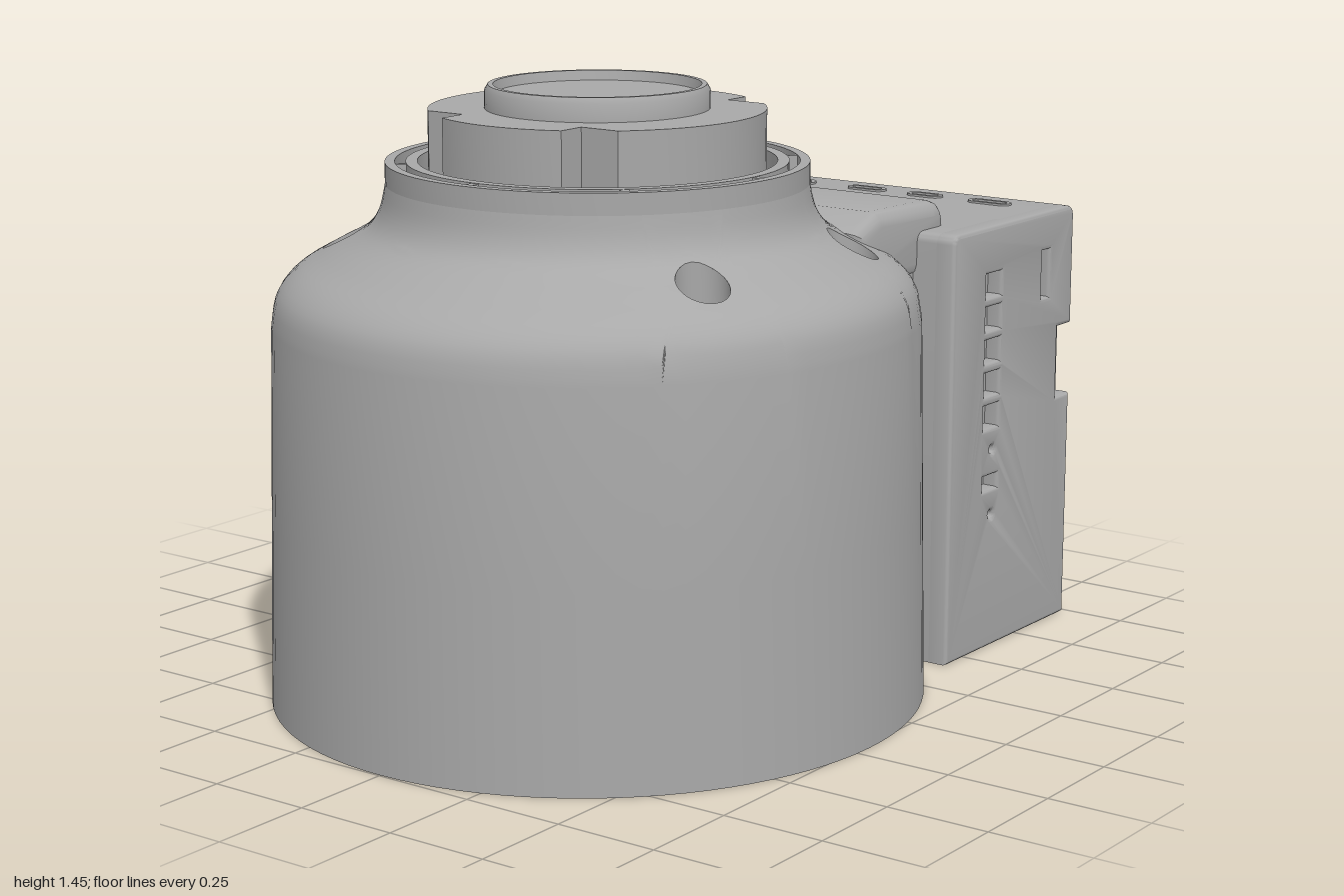
import * as THREE from 'three';
import { mergeGeometries, toCreasedNormals } from 'three/addons/utils/BufferGeometryUtils.js';

const V2 = (x, y) => new THREE.Vector2(x, y);
const AXIS_Z = 0.205; // centre of the round housing
const SEG = 96;
const STEP = (Math.PI * 2) / SEG;

// Shoulder profile (radius, height), from the wall up to the collar
const shoulder = new THREE.SplineCurve([
  V2(0.745, 0.9), V2(0.732, 0.97), V2(0.695, 1.02), V2(0.63, 1.06),
  V2(0.555, 1.1), V2(0.52, 1.13), V2(0.5, 1.17), V2(0.49, 1.22),
]).getPoints(24);

function shoulderHeight(r) {
  for (let i = 1; i < shoulder.length; i++) {
    const a = shoulder[i - 1], b = shoulder[i];
    if (r >= b.x) return a.y + (b.y - a.y) * Math.min(1, Math.max(0, (a.x - r) / (a.x - b.x)));
  }
  return 1.22;
}

// Shoulder sector with a round hole, rings running from the hole to the sector edge
function holedSector(centre, half, holeR, holeDist) {
  const edge = [], n = shoulder.length - 1;
  const node = (u, v) => {
    const a = (centre + u) * STEP, r = shoulder[v].x;
    edge.push(V2(r * Math.sin(a), r * Math.cos(a)));
  };
  for (let u = -half; u < half; u++) node(u, 0);
  for (let v = 0; v < n; v++) node(half, v);
  for (let u = half; u > -half; u--) node(u, n);
  for (let v = n; v > 0; v--) node(-half, v);
  const c = V2(Math.sin(centre * STEP), Math.cos(centre * STEP)).multiplyScalar(holeDist);
  const rings = 10, pos = [], idx = [], m = edge.length;
  for (let k = 0; k <= rings; k++) {
    for (const e of edge) {
      const p = e.clone().sub(c).setLength(holeR).add(c).lerp(e, k / rings);
      pos.push(p.x, shoulderHeight(p.length()), p.y);
    }
  }
  for (let k = 0; k < rings; k++) {
    for (let i = 0; i < m; i++) {
      const j = (i + 1) % m, a = k * m, b = a + m;
      idx.push(a + i, b + i, b + j, a + i, b + j, a + j);
    }
  }
  const g = new THREE.BufferGeometry();
  g.setAttribute('position', new THREE.Float32BufferAttribute(pos, 3));
  g.setIndex(idx);
  return g;
}

// Widens the lower housing slightly front to back and flattens its rear
function warp(x, z) {
  const k = 1 + 0.035 * Math.min(1, Math.max(0, (Math.hypot(x, z) - 0.65) / 0.09));
  return Math.max(z * k, -0.62);
}

function mapVertices(g, fn) {
  const p = g.attributes.position, v = new THREE.Vector3();
  for (let i = 0; i < p.count; i++) {
    fn(v.fromBufferAttribute(p, i));
    p.setXYZ(i, v.x, v.y, v.z);
  }
  return g;
}

const crease = (g, angle = 0.6) => toCreasedNormals(g, angle);
const lathe = (pts, seg = 64) => crease(new THREE.LatheGeometry(pts.map(p => V2(...p)), seg));

function rectPath(x0, y0, x1, y1) {
  return new THREE.Path([V2(x0, y0), V2(x0, y1), V2(x1, y1), V2(x1, y0)]);
}

function circlePath(x, y, r) {
  return new THREE.Path().absarc(x, y, r, 0, Math.PI * 2, true);
}

// Extrudes a (z, y) outline along x, between x0 and x1
function extrudeX(shape, x0, x1, bevel = 0) {
  const g = new THREE.ExtrudeGeometry(shape, {
    depth: x1 - x0 - 2 * bevel, bevelEnabled: bevel > 0, bevelSize: bevel,
    bevelThickness: bevel, bevelOffset: -bevel, bevelSegments: 3, curveSegments: 8,
  });
  return crease(g.rotateY(-Math.PI / 2).translate(x1 - bevel, 0, 0));
}

// Side outline of the electronics box, optionally notched at the rear edge
function boxOutline(notched) {
  const s = new THREE.Shape(), r = 0.03, back = -0.987, front = -0.412, top = 1.062;
  s.moveTo(back, 0).lineTo(front, 0).lineTo(front, top - r);
  s.quadraticCurveTo(front, top, front - r, top).lineTo(back + r, top);
  s.quadraticCurveTo(back, top, back, top - r);
  if (notched) s.lineTo(back, 0.76).lineTo(-0.92, 0.76).lineTo(-0.92, 0.58).lineTo(back, 0.58);
  return s;
}

export function createModel() {
  const model = new THREE.Group();
  const grey = new THREE.MeshStandardMaterial({ color: 0xa8a8a8 });
  grey.name = 'housing grey';
  const add = (name, geometry, x = 0, y = 0, z = 0, parent = model) => {
    const mesh = new THREE.Mesh(geometry, grey);
    mesh.name = name;
    mesh.position.set(x, y, z);
    parent.add(mesh);
    return mesh;
  };

  const round = new THREE.Group();
  round.name = 'roundHousing';
  round.position.z = AXIS_Z;
  model.add(round);

  // Housing shell: wall, shoulder sectors and the four holed sectors
  const parts = [new THREE.LatheGeometry([V2(0.765, 0), V2(0.755, 0.45), shoulder[0]], SEG)];
  for (const [from, count] of [[19, 10], [35, 26], [67, 10], [83, 26]]) {
    parts.push(new THREE.LatheGeometry(shoulder, count, from * STEP, count * STEP));
  }
  for (const c of [16, 32, 64, 80]) parts.push(holedSector(c, 3, 0.06, 0.59));
  parts.forEach(g => { g.deleteAttribute('normal'); g.deleteAttribute('uv'); });
  const shell = mapVertices(mergeGeometries(parts), v => { v.z = warp(v.x, v.z); });
  add('housingShell', crease(shell, 0.9), 0, 0, 0, round);

  // Countersunk through holes in the shoulder
  const screwHoles = [16, 32, 64, 80].map(k => V2(Math.sin(k * STEP), Math.cos(k * STEP)).multiplyScalar(0.59));
  for (const h of screwHoles) {
    const g = lathe([[0.06, 1.1], [0.06, 1.0], [0.033, 1.0], [0.033, 0]], 32).translate(h.x, 0, h.y);
    mapVertices(g, v => { if (v.y > 1.05) v.y = shoulderHeight(Math.hypot(v.x, v.z)); });
    add('screwHole', g, 0, 0, 0, round);
  }

  // Underside with through holes and blind mounting holes
  const base = new THREE.Shape(Array.from({ length: SEG }, (_, i) => {
    const x = 0.765 * Math.cos(i * STEP), z = 0.765 * Math.sin(i * STEP);
    return V2(x, warp(x, z));
  }));
  for (const h of screwHoles) base.holes.push(circlePath(h.x, h.y, 0.033));
  for (const deg of [0, 60, 120, 180, 240, 300]) {
    const a = deg * Math.PI / 180, x = 0.66 * Math.cos(a), z = 0.66 * Math.sin(a) + (deg > 180 ? 0.02 : 0.03);
    base.holes.push(circlePath(x, z, 0.042));
    add('mountingHole', lathe([[0, 0.1], [0.042, 0.1], [0.042, 0]].reverse(), 24).scale(-1, 1, 1), x, 0, z, round)
      .geometry = lathe([[0, 0.1], [0.042, 0.1], [0.042, 0]].slice(0), 24);
  }
  add('underside', new THREE.ShapeGeometry(base, 24).rotateX(Math.PI / 2), 0, 0, 0, round);

  // Collar with a ring groove, crossed by small ribs
  add('collar', lathe([[0.49, 1.22], [0.49, 1.27], [0.467, 1.27], [0.467, 1.235], [0.442, 1.235],
    [0.442, 1.27], [0.415, 1.27], [0.415, 1.2], [0, 1.2]], SEG), 0, 0, 0, round);
  for (let i = 0; i < 8; i++) {
    const a = i * Math.PI / 4;
    const rib = add('collarRib', new THREE.BoxGeometry(0.02, 0.035, 0.03), 0.455 * Math.sin(a), 1.2515, 0.455 * Math.cos(a), round);
    rib.rotation.y = a;
  }

  // Mount ring with four stepped corner notches
  const quarter = [], R = 0.39;
  for (let i = 0; i <= 10; i++) quarter.push([R * Math.cos(i * 0.0801), R * Math.sin(i * 0.0801)]);
  quarter.push([0.17, 0.28]);
  for (let i = 0; i <= 6; i++) {
    const a = 1.12 + i * (Math.PI / 2 - 1.12) / 6;
    quarter.push([R * Math.cos(a), R * Math.sin(a)]);
  }
  const mirrored = (sx, sy) => {
    const pts = quarter.map(([x, y]) => V2(x * sx, y * sy));
    return (sx * sy < 0 ? pts.reverse() : pts).slice(0, -1);
  };
  const ring = new THREE.Shape([...mirrored(1, 1), ...mirrored(-1, 1), ...mirrored(-1, -1), ...mirrored(1, -1)]);
  add('mountRing', crease(new THREE.ExtrudeGeometry(ring, { depth: 0.19, bevelEnabled: false }).rotateX(-Math.PI / 2)),
    0, 1.2, 0, round);

  // Raised rim with a recessed disc
  add('topRim', lathe([[0.26, 1.38], [0.26, 1.432], [0.252, 1.445], [0.24, 1.445], [0.235, 1.422], [0, 1.422]]),
    0, 0, 0, round);

  // Bridge joining the round housing and the box
  const bridge = new THREE.Shape();
  bridge.moveTo(-0.545, 0.95).lineTo(-0.545, 1.07).quadraticCurveTo(-0.54, 1.125, -0.49, 1.125);
  bridge.lineTo(-0.25, 1.13).lineTo(-0.16, 1.09).lineTo(-0.16, 0.95);
  add('bridgeTop', extrudeX(bridge, -0.485, 0.485, 0.035));
  add('bridgeWall', new THREE.BoxGeometry(0.95, 1.04, 0.12), 0, 0.525, -0.37);

  // Electronics box: solid core and two side panels with port openings
  add('boxCore', extrudeX(boxOutline(false), -0.55, 0.55));
  for (const side of [1, -1]) {
    const panel = boxOutline(side > 0);
    for (let i = 0; i < 5; i++) {
      const y = 0.56 + i * 0.082;
      panel.holes.push(rectPath(-0.637, y, -0.568, y + 0.058));
    }
    if (side > 0) {
      panel.holes.push(rectPath(-0.637, 0.405, -0.57, 0.44), rectPath(-0.87, 0.845, -0.835, 0.965));
      panel.holes.push(circlePath(-0.61, 0.505, 0.01), circlePath(-0.61, 0.34, 0.01));
    } else {
      for (const y of [0.82, 0.58]) {
        panel.holes.push(rectPath(-0.88, y, -0.79, y + 0.18), rectPath(-0.76, y, -0.67, y + 0.18));
      }
      panel.holes.push(rectPath(-0.87, 0.33, -0.68, 0.52));
      for (const y of [0.34, 0.41, 0.48]) {
        panel.holes.push(circlePath(-0.63, y, 0.011), circlePath(-0.56, y, 0.011));
      }
    }
    add('sidePanel', side > 0 ? extrudeX(panel, 0.53, 0.59, 0.01) : extrudeX(panel, -0.59, -0.53, 0.01));
  }

  // Connector surrounds on top of the box
  const surround = (x, z, w, d, y) => {
    const pill = (P, hw, hd) => {
      const p = new P(), k = hw - hd;
      p.absarc(k, 0, hd, -Math.PI / 2, Math.PI / 2, false);
      p.absarc(-k, 0, hd, Math.PI / 2, Math.PI * 1.5, false);
      return p;
    };
    const s = pill(THREE.Shape, w / 2, d / 2);
    s.holes.push(pill(THREE.Path, w / 2 - 0.012, d / 2 - 0.012));
    add('connectorSurround', crease(new THREE.ExtrudeGeometry(s, { depth: 0.006, bevelEnabled: false }).rotateX(-Math.PI / 2)), x, y, z);
  };
  surround(0, -0.625, 0.18, 0.1, 1.061);
  surround(0, -0.625, 0.12, 0.045, 1.061);
  surround(-0.15, -0.86, 0.08, 0.079, 1.061);
  for (const [x, w] of [[0.045, 0.11], [0.22, 0.1], [0.41, 0.12]]) surround(x, -0.875, w, 0.045, 1.061);

  // Round cap on the back of the box
  add('backCap', crease(new THREE.CylinderGeometry(0.092, 0.1, 0.012, 24).rotateX(-Math.PI / 2)), -0.235, 0.17, -0.992);
  return model;
}
